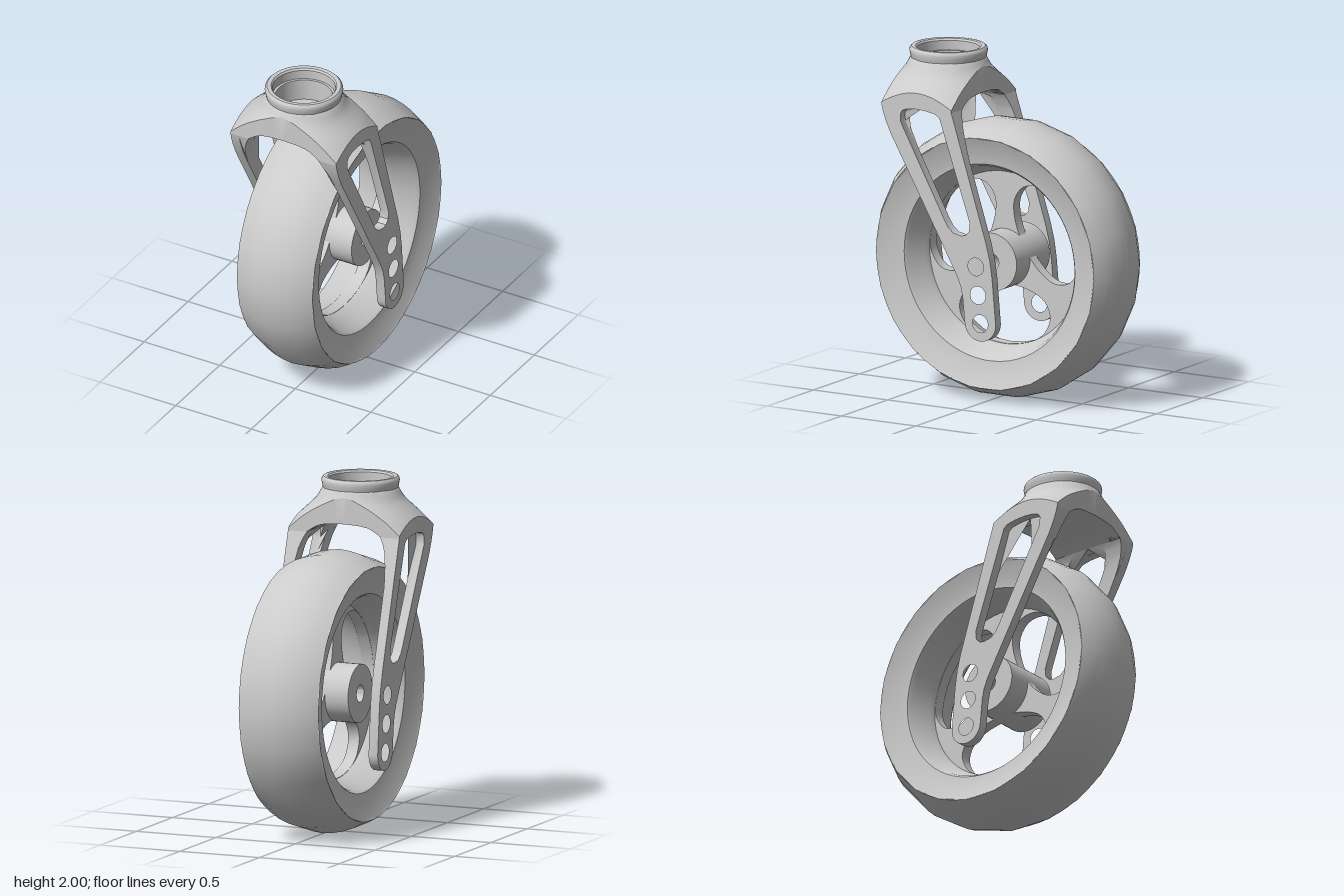
import * as THREE from 'three';
import { toCreasedNormals } from 'three/addons/utils/BufferGeometryUtils.js';

const AXLE_Y = 0.807, STEM_Z = 0.4;
const material = new THREE.MeshStandardMaterial({ color: 0xcccccc });

function part(name, geometry, crease = 0.6) {
  const mesh = new THREE.Mesh(toCreasedNormals(geometry, crease), material);
  mesh.name = name;
  return mesh;
}

// Piecewise-linear curve through [input, output] pairs
function curve(table) {
  return (v) => {
    if (v <= table[0][0]) return table[0][1];
    for (let i = 1; i < table.length; i++) {
      const [a, fa] = table[i - 1], [b, fb] = table[i];
      if (v <= b) return fa + ((fb - fa) * (v - a)) / (b - a);
    }
    return table[table.length - 1][1];
  };
}
const bellTop = curve([[0.2, 1.95], [0.218, 1.935], [0.235, 1.9], [0.255, 1.87], [0.285, 1.84], [0.35, 1.78], [0.425, 1.7]]);
const archUnder = curve([[0, 1.75], [0.1, 1.746], [0.15, 1.737], [0.19, 1.72], [0.23, 1.69]]);

const v2 = (list) => list.map(([a, b]) => new THREE.Vector2(a, b));

// Closed profile of [radius, x] turned about the axle
function turned(profile, segments) {
  return new THREE.LatheGeometry(v2([...profile, profile[0]]), segments).rotateZ(-Math.PI / 2);
}
// Puts the -x half of a profile around its +x half
const flipped = (half) => half.slice().reverse().map(([r, x]) => [r, -x]);

function makeWheel() {
  const wheel = new THREE.Group();
  wheel.name = 'wheel';
  wheel.position.y = AXLE_Y;

  const tread = [[0.809, 0.06], [0.796, 0.12], [0.775, 0.18], [0.735, 0.25]];
  wheel.add(part('tyre', turned([...flipped(tread), [0.815, 0], ...tread, [0.65, 0.19], [0.65, -0.19]], 22), 0.5));

  const dish = [[0.732, 0.25], [0.64, 0.211], [0.575, 0.2], [0.56, 0.18], [0.52, 0.06], [0.505, 0.035]];
  wheel.add(part('rim', turned([...dish, ...flipped(dish)], 66)));

  // Web with three rounded windows
  const web = new THREE.Shape().absarc(0, 0, 0.515, 0, Math.PI * 2);
  web.holes.push(new THREE.Path().absarc(0, 0, 0.06, 0, Math.PI * 2, true));
  const half = [[0.1, 0.493], [0.2, 0.462], [0.27, 0.41], [0.306, 0.32], [0.27, 0.232], [0.19, 0.183], [0.09, 0.157]];
  const outline = [[0, 0.503], ...half, [0, 0.152], ...half.slice().reverse().map(([u, r]) => [-u, r])];
  for (let i = 0; i < 3; i++) {
    const turn = Math.PI + (i * Math.PI * 2) / 3;
    const points = v2(outline).map((p) => p.rotateAround(new THREE.Vector2(), turn));
    web.holes.push(new THREE.Path(new THREE.SplineCurve([...points, points[0]]).getPoints(48)));
  }
  const webGeometry = new THREE.ExtrudeGeometry(web, { depth: 0.07, bevelEnabled: false, curveSegments: 64 });
  wheel.add(part('spokes', webGeometry.translate(0, 0, -0.035).rotateY(Math.PI / 2)));

  wheel.add(part('hub', turned([[0.17, -0.18], [0.17, 0.18], [0.05, 0.18], [0.05, -0.18]], 40)));
  return wheel;
}

// Fork leg: flat plate with a triangular opening and three axle holes
function makeLeg(side) {
  const toShape = (list) => v2(list.map(([z, y]) => [-z, y]));
  const outline = [[0.165, 1.69], [-0.07, 0.95], [-0.095, 0.85], [-0.11, 0.75]];
  for (let i = 0; i <= 14; i++) {
    const a = (i / 14) * Math.PI;
    outline.push([-0.03 - Math.cos(a) * 0.104, 0.48 - Math.sin(a) * 0.104]);
  }
  outline.push([0.088, 0.62], [0.1, 0.68], [0.125, 0.74], [0.17, 0.82], [0.575, 1.53], [0.607, 1.6], [0.625, 1.65], [0.635, 1.69]);
  const opening = [[0.1, 0.98], [0.07, 0.985], [0.045, 1.01], [0.04, 1.06], [0.235, 1.62], [0.245, 1.65], [0.27, 1.67],
    [0.33, 1.682], [0.4, 1.687], [0.46, 1.682], [0.495, 1.67], [0.507, 1.65], [0.505, 1.6], [0.21, 1.06], [0.185, 1.02], [0.15, 0.99]];

  const shape = new THREE.Shape(toShape(outline));
  shape.holes.push(new THREE.Path(toShape(opening)));
  for (const [z, y] of [[0, 0.81], [-0.015, 0.645], [-0.03, 0.48]])
    shape.holes.push(new THREE.Path().absarc(-z, y, 0.052, 0, Math.PI * 2, true));
  const geometry = new THREE.ExtrudeGeometry(shape, { depth: 0.057, bevelEnabled: false, curveSegments: 24 }).rotateY(Math.PI / 2);
  return part(side > 0 ? 'leftLeg' : 'rightLeg', geometry.translate(side > 0 ? 0.293 : -0.35, 0, 0));
}

// Thickening that carries the arch down the inside of one strut, between two edges z(y)
function makeHaunch(name, side, backEdge, frontEdge) {
  const inner = [[0.293, 1.42], [0.289, 1.47], [0.282, 1.53], [0.27, 1.6], [0.263, 1.62], [0.252, 1.65],
    [0.242, 1.67], [0.235, 1.682], [0.23, 1.69]];
  const back = inner.slice(1).reverse().map(([, y]) => [0.3, y]);
  const shape = new THREE.Shape(v2([...inner, ...back].map(([x, y]) => [x * side, y])));
  const geometry = new THREE.ExtrudeGeometry(shape, { depth: 1, bevelEnabled: false });
  const p = geometry.attributes.position;
  for (let i = 0; i < p.count; i++) p.setZ(i, (p.getZ(i) > 0.5 ? frontEdge : backEdge)(p.getY(i)));
  return part(name, geometry, 0.4);
}

// Crown: bell-shaped top trimmed to a rectangle, arched underneath
function makeCrown() {
  const hx = 0.35, hz = 0.235, steps = 24, rim = [];
  const corners = [[hx, hz], [hx, -hz], [-hx, -hz], [-hx, hz]];
  corners.forEach(([x, z], i) => {
    const [nx, nz] = corners[(i + 1) % 4];
    for (let k = 0; k < steps; k++) rim.push([x + ((nx - x) * k) / steps, z + ((nz - z) * k) / steps]);
  });
  const rows = [];
  for (let k = 0; k <= 12; k++) // bell surface, from the collar outwards
    rows.push(rim.map(([x, z]) => {
      const R = Math.hypot(x, z), r = 0.2 + ((R - 0.2) * k) / 12;
      return [(x / R) * r, bellTop(r), (z / R) * r];
    }));
  for (let k = 12; k >= 0; k--) // underside, from the edge inwards
    rows.push(rim.map(([x, z]) => [(x * k) / 12, archUnder(Math.abs((x * k) / 12)), (z * k) / 12]));

  const n = rim.length, index = [];
  for (let r = 0; r < rows.length - 1; r++)
    for (let i = 0; i < n; i++) {
      const a = r * n + i, b = r * n + ((i + 1) % n), c = a + n, d = b + n;
      index.push(a, c, b, b, c, d);
    }
  const geometry = new THREE.BufferGeometry();
  geometry.setAttribute('position', new THREE.Float32BufferAttribute(rows.flat(2), 3));
  geometry.setIndex(index);
  geometry.translate(0, 0, STEM_Z);
  return part('crown', geometry, 0.5);
}

// Rounded collar with a stepped blind socket
function makeCollar() {
  const profile = [[0.205, 1.9], [0.217, 1.935], [0.221, 1.955], [0.225, 1.975], [0.222, 1.988], [0.212, 1.998], [0.2, 2],
    [0.188, 1.996], [0.18, 1.985], [0.18, 1.93], [0.165, 1.93], [0.165, 1.8], [0, 1.8]];
  return part('collar', new THREE.LatheGeometry(v2(profile), 48).translate(0, 0, STEM_Z));
}

export function createModel() {
  const model = new THREE.Group();
  model.name = 'casterWheel';
  const fork = new THREE.Group();
  fork.name = 'fork';
  fork.add(makeCrown(), makeCollar());

  // Strut edges as z against y
  const backOuter = curve([[0.95, -0.07], [1.69, 0.165]]);
  const backInner = curve([[1.06, 0.04], [1.62, 0.235], [1.65, 0.245], [1.67, 0.27], [1.682, 0.33], [1.69, 0.4]]);
  const frontInner = curve([[1.06, 0.21], [1.6, 0.505], [1.65, 0.507], [1.67, 0.495], [1.682, 0.46], [1.69, 0.4]]);
  const frontOuter = curve([[0.82, 0.17], [1.53, 0.575], [1.6, 0.607], [1.65, 0.625], [1.69, 0.635]]);
  for (const side of [1, -1]) {
    const label = side > 0 ? 'left' : 'right';
    fork.add(makeLeg(side));
    fork.add(makeHaunch(label + 'BackHaunch', side, backOuter, backInner));
    fork.add(makeHaunch(label + 'FrontHaunch', side, frontInner, frontOuter));
  }
  model.add(makeWheel(), fork);
  return model;
}
